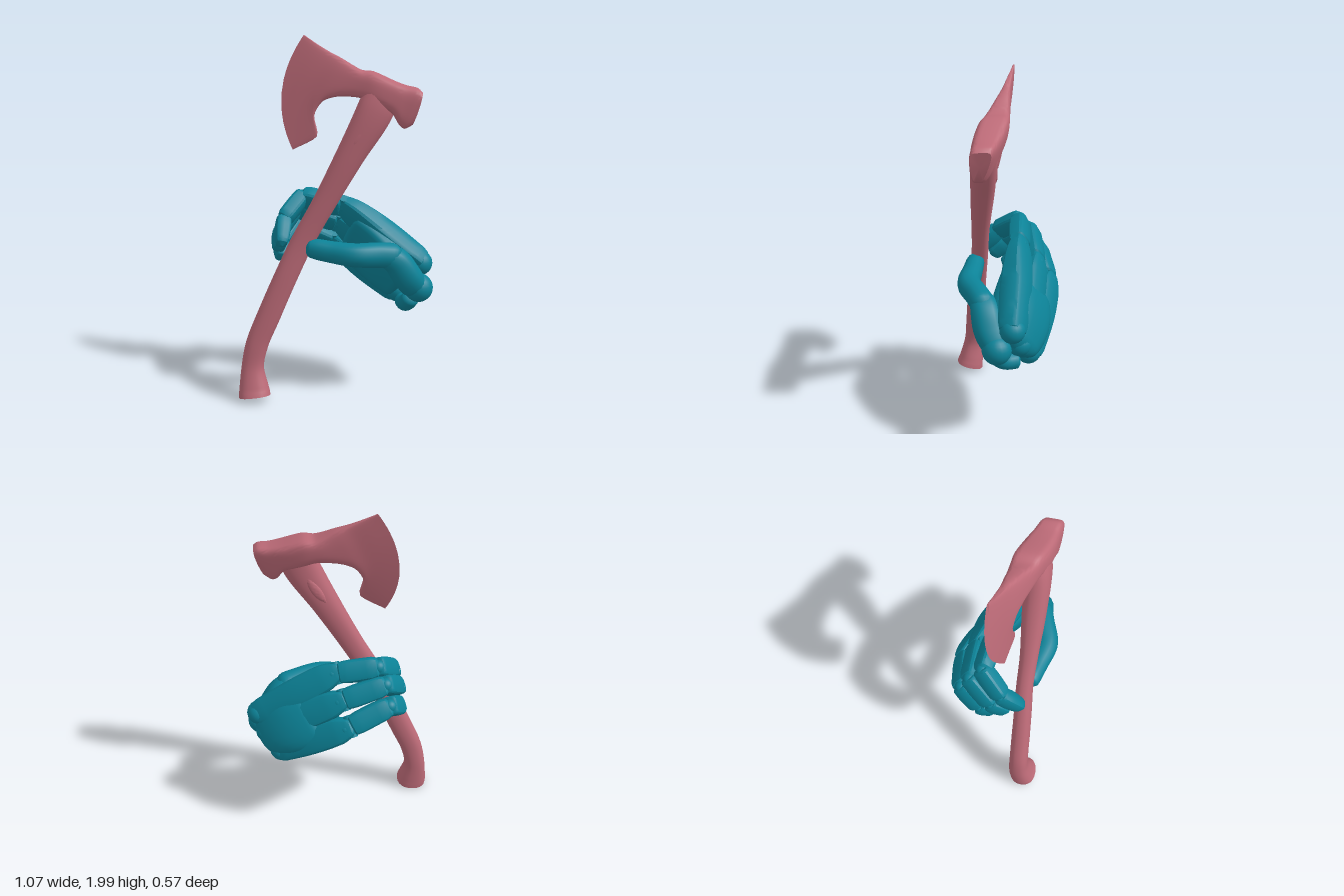
import * as THREE from 'three';
import { toCreasedNormals } from 'three/addons/utils/BufferGeometryUtils.js';

const V = (a) => new THREE.Vector3(...a);
const wood = new THREE.MeshStandardMaterial({ color: 0xbd6b78 });
const teal = new THREE.MeshStandardMaterial({ color: 0x0c8398 });

// Skin a list of closed rings and cap both ends
function loft(rings, crease) {
  const n = rings[0].length, pos = [], idx = [];
  rings.forEach((r) => r.forEach((p) => pos.push(p.x, p.y, p.z)));
  for (let i = 0; i < rings.length - 1; i++) {
    for (let j = 0; j < n; j++) {
      const a = i * n + j, b = i * n + (j + 1) % n;
      idx.push(a, b, a + n, b, b + n, a + n);
    }
  }
  [0, rings.length - 1].forEach((i) => {
    const c = rings[i].reduce((s, p) => s.add(p), V([0, 0, 0])).divideScalar(n);
    const k = pos.push(c.x, c.y, c.z) / 3 - 1;
    for (let j = 0; j < n; j++) {
      const a = i * n + j, b = i * n + (j + 1) % n;
      if (i === 0) idx.push(k, b, a); else idx.push(k, a, b);
    }
  });
  const g = new THREE.BufferGeometry();
  g.setAttribute('position', new THREE.Float32BufferAttribute(pos, 3));
  g.setIndex(idx);
  return toCreasedNormals(g, crease);
}

const power = (x, e) => Math.sign(x) * Math.abs(x) ** e;

// Sweep a rounded-rectangle section along points [x, y, z, halfWidth, halfDepth]
function sweep(pts, { wide, steps = 24, sides = 16, e = 0.7, crease = 0.7, round = 0 }) {
  const path = new THREE.CatmullRomCurve3(pts.map((p) => V(p.slice(0, 3))), false, 'centripetal');
  const size = new THREE.CatmullRomCurve3(pts.map((p) => V([p[3], p[4], 0])), false, 'catmullrom', 0.5);
  const rings = [];
  for (let i = 0; i <= steps; i++) {
    const f = i / steps, c = path.getPoint(f), t = path.getTangent(f), s = size.getPoint(f);
    const u = V(wide).addScaledVector(t, -V(wide).dot(t)).normalize();
    const v = t.clone().cross(u);
    // round > 0 draws the ends in over that fraction of the length
    const d = round ? Math.min(1, Math.min(f, 1 - f) / round) : 1;
    const k = Math.sqrt(Math.max(0.06, 1 - (1 - d) ** 2));
    const ring = [];
    for (let j = 0; j < sides; j++) {
      const a = (j / sides) * Math.PI * 2;
      ring.push(c.clone().addScaledVector(u, k * s.x * power(Math.cos(a), e))
        .addScaledVector(v, k * s.y * power(Math.sin(a), e)));
    }
    rings.push(ring);
  }
  return loft(rings, crease);
}

// Axe head: sections from cutting edge to poll
// [topX, topY, bottomX, bottomY, halfThickness, forward bulge]
function axeHead() {
  const rows = [
    [-0.17, 2.0, -0.23, 1.4, 0.008, -0.09],
    [-0.10, 1.955, -0.1, 1.475, 0.022, -0.075],
    [-0.03, 1.915, -0.115, 1.58, 0.032, -0.03],
    [0.03, 1.885, -0.07, 1.66, 0.045, -0.01],
    [0.09, 1.85, 0.01, 1.69, 0.058, 0],
    [0.14, 1.825, 0.12, 1.69, 0.072, 0],
    [0.20, 1.82, 0.2, 1.66, 0.082, 0],
    [0.31, 1.775, 0.29, 1.62, 0.08, 0],
    [0.37, 1.755, 0.33, 1.56, 0.075, 0],
    [0.425, 1.745, 0.36, 1.54, 0.07, 0.005],
    [0.45, 1.725, 0.4, 1.56, 0.062, 0.005],
  ];
  const curve = (a, b, c) => new THREE.CatmullRomCurve3(
    rows.map((r) => V([r[a], r[b], r[c]])), false, 'catmullrom', 0.4);
  const top = curve(0, 1, 4), bottom = curve(2, 3, 5), rings = [], sides = 44;
  for (let i = 0; i <= 40; i++) {
    const f = i / 40, p = top.getPoint(f), q = bottom.getPoint(f), ring = [];
    for (let j = 0; j < sides; j++) {
      const a = (j / sides) * Math.PI * 2, h = power(Math.cos(a), 0.75);
      const x = THREE.MathUtils.lerp(q.x, p.x, (h + 1) / 2) + q.z * (1 - h * h);
      const y = THREE.MathUtils.lerp(q.y, p.y, (h + 1) / 2);
      // the head leans in a tilted plane, and the poll narrows downward
      const z = -0.04 + 0.2625 * (x + 0.17) - 0.168 * (y - 2);
      const taper = 1 - 0.28 * Math.max(0, (f - 0.65) / 0.35) * (1 - h);
      ring.push(V([x, y, z + p.z * taper * power(Math.sin(a), 0.4)]));
    }
    rings.push(ring);
  }
  return loft(rings, 0.8);
}

export function createModel() {
  const model = new THREE.Group();
  const axe = new THREE.Group(), hand = new THREE.Group();
  axe.name = 'axe';
  hand.name = 'hand';
  model.add(axe, hand);
  const add = (parent, name, geo, mat) => {
    const m = new THREE.Mesh(geo, mat);
    m.name = name;
    parent.add(m);
    return m;
  };
  const ball = (name, p, r) => add(hand, name, new THREE.SphereGeometry(r, 20, 14), teal).position.set(...p);

  // Axe
  add(axe, 'axeHead', axeHead(), wood);
  add(axe, 'handle', sweep([
    [-0.445, 0.03, 0.208, 0.088, 0.08], [-0.45, 0.075, 0.197, 0.083, 0.072], [-0.457, 0.2, 0.177, 0.062, 0.058],
    [-0.43, 0.335, 0.172, 0.062, 0.054], [-0.365, 0.495, 0.167, 0.064, 0.053], [-0.275, 0.705, 0.16, 0.063, 0.05],
    [-0.175, 0.92, 0.15, 0.062, 0.047], [-0.06, 1.13, 0.15, 0.063, 0.05], [0.08, 1.39, 0.145, 0.076, 0.064],
    [0.205, 1.62, 0.138, 0.096, 0.068], [0.25, 1.74, 0.12, 0.085, 0.06],
  ], { wide: [1, 0, 0], steps: 70, sides: 24, e: 0.85, round: 0.008 }), wood);
  // Shallow carved ridges on both faces below the head
  [[0.198, 0], [0.08, 1]].forEach(([z, back]) => {
    add(axe, 'handleRidge', sweep([
      [0.08, 1.43, z, 0.012, 0.01], [0.13, 1.5, z, 0.026, 0.012], [0.2, 1.62, z - 0.005 + back * 0.01, 0.012, 0.01],
    ], { wide: [1, 0, 0], round: 0.3, e: 1 }), wood);
  });

  // Palm, with plates running from knuckles to wrist and a smooth back
  const spread = [-0.1, -0.34, -0.21];
  const knuckles = [[0.055, 1.06, -0.055], [0.03, 0.94, -0.15], [-0.005, 0.81, -0.225]];
  const wrists = [[0.475, 0.755, 0.02], [0.43, 0.655, -0.02], [0.355, 0.565, -0.075]];
  const mix = (a, b, f, w, d) => [...a.map((x, i) => x + (b[i] - x) * f), w, d];
  add(hand, 'palm', sweep([
    [0.06, 0.9, -0.1, 0.17, 0.05], [0.17, 0.83, -0.06, 0.18, 0.07],
    [0.29, 0.74, -0.01, 0.17, 0.085], [0.39, 0.66, 0.03, 0.14, 0.085],
  ], { wide: spread, round: 0.08, e: 0.6, sides: 24 }), teal);
  add(hand, 'handBack', sweep([
    [0.14, 0.86, -0.12, 0.13, 0.05], [0.25, 0.775, -0.09, 0.17, 0.078],
    [0.35, 0.71, -0.055, 0.16, 0.08], [0.47, 0.635, 0.0, 0.11, 0.06],
  ], { wide: spread, round: 0.15, e: 0.8, sides: 24 }), teal);
  knuckles.forEach((k, i) => {
    add(hand, 'backPlate', sweep([
      mix(k, wrists[i], -0.12, 0.04, 0.026), mix(k, wrists[i], 0.1, 0.075, 0.052),
      mix(k, wrists[i], 0.5, 0.082, 0.07), mix(k, wrists[i], 1.05, 0.07, 0.062),
    ], { wide: spread, round: 0.07, e: 0.5, crease: 0.5 }), teal);
    ball('wristKnob', mix(wrists[i], k, 0.02, 0, 0).slice(0, 3), 0.068);
  });
  ball('thumbWristKnob', [0.455, 0.645, 0.1], 0.08);
  add(hand, 'wristBand', sweep([
    [0.42, 0.6, 0.12, 0.05, 0.045], [0.39, 0.54, 0.05, 0.05, 0.048], [0.37, 0.53, -0.03, 0.045, 0.045],
  ], { wide: [1, 0, 0], round: 0.15, e: 1 }), teal);

  // Three fingers: middle joint, end joint and tip, curling round the handle
  const fingers = [
    [[-0.19, 1.11, -0.08], [-0.285, 1.01, 0.04], [-0.29, 0.9, 0.15]],
    [[-0.225, 1.035, -0.145], [-0.31, 0.93, -0.015], [-0.31, 0.85, 0.07]],
    [[-0.245, 0.925, -0.19], [-0.31, 0.84, -0.08], [-0.3, 0.78, 0.0]],
  ];
  fingers.forEach((joints, i) => {
    const chain = [knuckles[i], ...joints];
    for (let s = 0; s < 3; s++) {
      const w = 0.062 - s * 0.006, d = 0.049 - s * 0.003, a = chain[s], b = chain[s + 1], end = s === 2 ? 0.75 : 0.95;
      add(hand, ['fingerBase', 'fingerMiddle', 'fingerTip'][s], sweep([
        mix(a, b, s ? -0.12 : 0.1, w * 0.9, d * 0.9), mix(a, b, 0.35, w, d), mix(a, b, 1.08, w * end, d * end),
      ], { wide: spread, steps: 14, round: 0.14, e: 0.55, crease: 0.5 }), teal);
      ball('fingerJoint', a, d * 0.85);
    }
    // Hinge pin across the knuckle
    const pin = add(hand, 'knucklePin', new THREE.CylinderGeometry(0.026, 0.026, 0.12, 14), teal);
    pin.position.set(...mix(knuckles[i], joints[0], 0.1, 0, 0).slice(0, 3));
    pin.quaternion.setFromUnitVectors(V([0, 1, 0]), V(spread).normalize());
  });

  // Thumb, closing over the front of the handle
  add(hand, 'thumbBase', sweep([
    [0.45, 0.63, 0.09, 0.07, 0.07], [0.39, 0.72, 0.13, 0.085, 0.08],
    [0.33, 0.81, 0.15, 0.08, 0.075], [0.25, 0.86, 0.17, 0.06, 0.06],
  ], { wide: [0, 0, 1], round: 0.15, e: 0.85 }), teal);
  add(hand, 'thumb', sweep([
    [0.36, 0.835, 0.145, 0.066, 0.07], [0.24, 0.855, 0.185, 0.064, 0.068], [0.11, 0.865, 0.225, 0.064, 0.063],
    [-0.02, 0.875, 0.2, 0.056, 0.058], [-0.1, 0.885, 0.182, 0.052, 0.055], [-0.155, 0.89, 0.17, 0.045, 0.045],
  ], { wide: [0, 0, 1], steps: 36, round: 0.1, e: 0.9 }), teal);
  return model;
}
